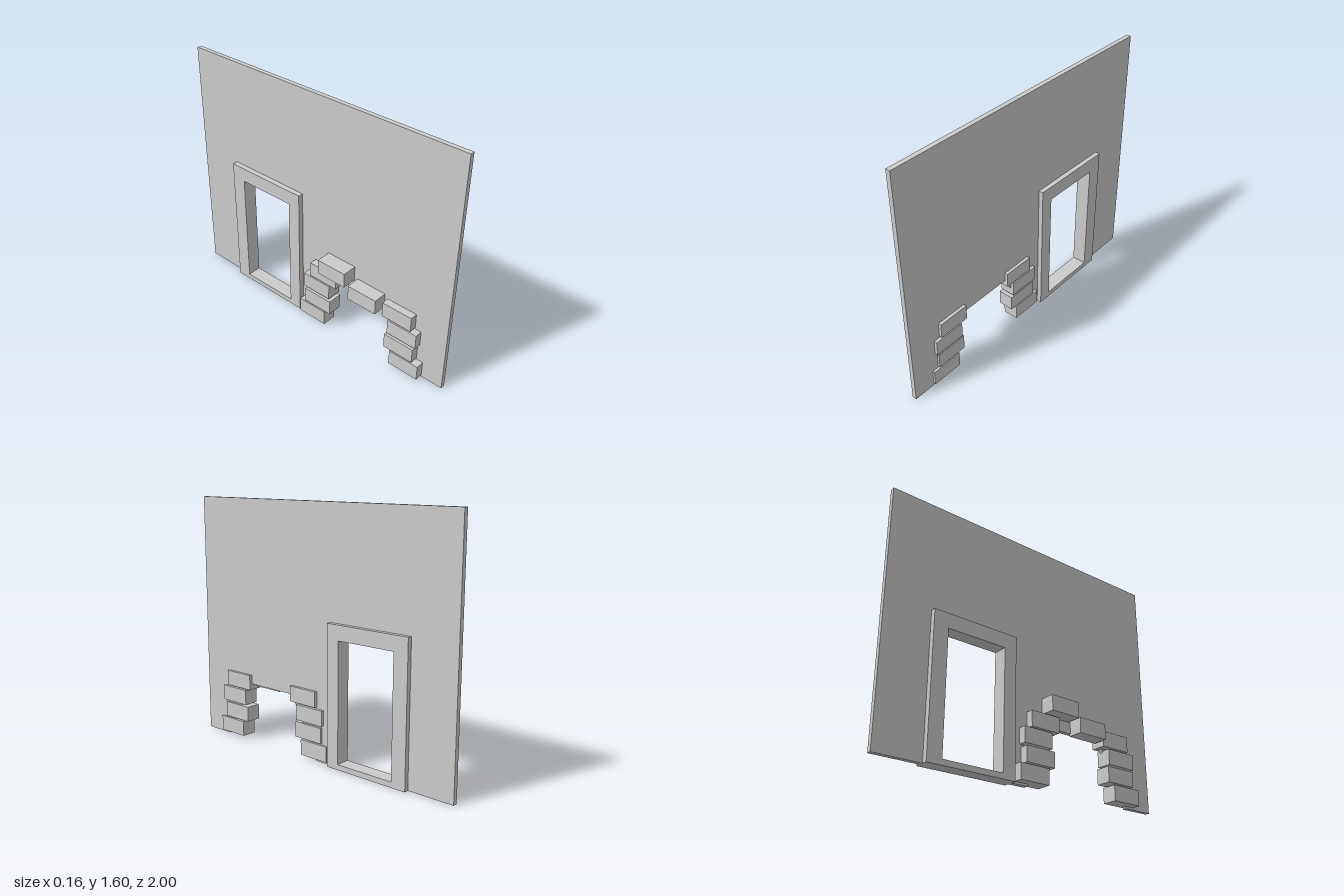
import * as THREE from 'three';

const material = new THREE.MeshStandardMaterial({ color: 0xcccccc, flatShading: true });

// Turns [z, y] outlines into a slab lying between two x planes
function slab(name, outline, hole, x0, x1) {
  const points = (list) => list.map(([z, y]) => new THREE.Vector2(-z, y));
  const shape = new THREE.Shape(points(outline));
  shape.holes.push(new THREE.Path(points(hole)));
  const geometry = new THREE.ExtrudeGeometry(shape, { depth: x1 - x0, bevelEnabled: false });
  geometry.rotateY(Math.PI / 2).translate(x0, 0, 0);
  const mesh = new THREE.Mesh(geometry, material);
  mesh.name = name;
  return mesh;
}

export function createModel() {
  const model = new THREE.Group();
  model.name = 'wallWithDoorway';

  const doorway = [[-0.2, 0.035], [-0.6, 0.035], [-0.6, 0.8], [-0.2, 0.8]];

  // Thin wall with a tapered gap at its foot and a doorway
  model.add(slab('wall', [
    [1, 0], [0.8, 0], [0.575, 0.39], [0.205, 0.39], [0, 0],
    [-1, 0], [-1, 1.6], [1, 1.6],
  ], doorway, 0.02, 0.05));

  // Thick door frame with a low sill
  model.add(slab('doorFrame', [
    [-0.115, 0], [-0.697, 0], [-0.697, 0.895], [-0.115, 0.895],
  ], doorway, -0.015, 0.08));

  // Loose bricks around the gap
  const bricks = new THREE.Group();
  bricks.name = 'archBricks';
  const brickGeometry = new THREE.BoxGeometry(0.1, 0.1, 0.21);
  const addBrick = (name, x, y, z) => {
    const brick = new THREE.Mesh(brickGeometry, material);
    brick.name = name;
    brick.position.set(x, y, z);
    bricks.add(brick);
  };

  // Each course: x, y, z of the front pillar, z of the rear pillar
  const courses = [
    [0.015, 0.065, 0.75, 0.013],
    [0.015, 0.175, 0.704, 0.058],
    [0.02, 0.29, 0.718, 0.045],
    [0.02, 0.4, 0.675, 0.1],
  ];
  courses.forEach(([x, y, zFront, zRear], i) => {
    addBrick(`frontPillarBrick${i + 1}`, x, y, zFront);
    addBrick(`rearPillarBrick${i + 1}`, x, y, zRear);
  });
  addBrick('highTopBrick', -0.035, 0.51, 0.212);
  addBrick('lowTopBrick', -0.022, 0.425, 0.443);
  model.add(bricks);

  return model;
}
